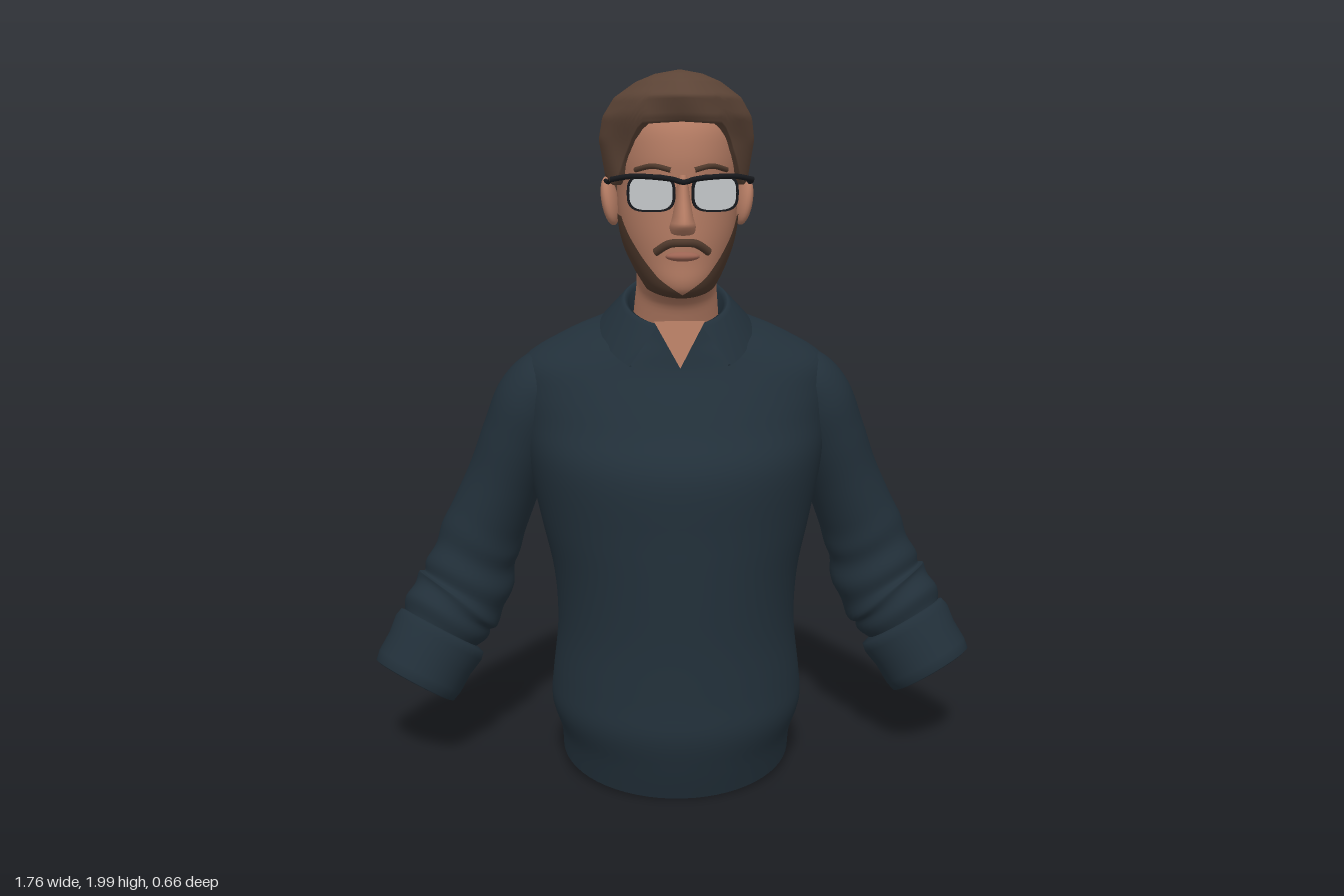
import * as THREE from 'three';

const mat = (name, color, side = THREE.FrontSide) => {
  const m = new THREE.MeshStandardMaterial({ color, side });
  m.name = name;
  return m;
};
const V = (x, y, z) => new THREE.Vector3(x, y, z);
const rad = THREE.MathUtils.degToRad;

// Smoothly interpolates a table of numbers; t runs in row units.
function sample(rows, t) {
  const i = Math.min(Math.floor(t), rows.length - 2), f = t - i;
  const at = k => rows[THREE.MathUtils.clamp(k, 0, rows.length - 1)];
  return rows[i].map((p1, c) => {
    const p0 = at(i - 1)[c], p2 = at(i + 1)[c], p3 = at(i + 2)[c];
    const m1 = (p2 - p0) / 2, m2 = (p3 - p1) / 2, d = p2 - p1;
    return p1 + f * (m1 + f * (3 * d - 2 * m1 - m2 + f * (m1 + m2 - 2 * d)));
  });
}

// Linear lookup in [key, value...] rows.
function lookup(table, key, c = 1) {
  let i = 0;
  while (i < table.length - 2 && key > table[i + 1][0]) i++;
  const [p, q] = [table[i], table[i + 1]];
  const f = THREE.MathUtils.clamp((key - p[0]) / (q[0] - p[0]), 0, 1);
  return p[c] + (q[c] - p[c]) * f;
}

// Grid surface: u runs around, v runs upward.
function loft(fn, nu, nv, closed = true) {
  const pos = [], index = [], cols = closed ? nu : nu + 1;
  for (let j = 0; j <= nv; j++)
    for (let i = 0; i < cols; i++) pos.push(...fn(i / nu, j / nv).toArray());
  for (let j = 0; j < nv; j++)
    for (let i = 0; i < nu; i++) {
      const a = j * cols + i, b = j * cols + (i + 1) % cols;
      index.push(a, b, b + cols, a, b + cols, a + cols);
    }
  const g = new THREE.BufferGeometry();
  g.setAttribute('position', new THREE.Float32BufferAttribute(pos, 3));
  g.setIndex(index);
  g.computeVertexNormals();
  return g;
}

// Point on an oval section [yFront, yBack, halfWidth, zFront, zBack]; angle 0 is the front.
function oval([yF, yB, w, zf, zb], a, mix = 0.45, back = 1, push = 0) {
  const zc = zf * mix + zb * (1 - mix), s = Math.sin(a), c = Math.cos(a);
  const e = c < 0 ? back : 1;
  const k = Math.sign(c) * Math.abs(c) ** e;
  const z = zc + k * ((c > 0 ? zf - zc : zc - zb) + push);
  const f = zf === zb ? 0.5 : (z - zb) / (zf - zb);
  return V(Math.sign(s) * Math.abs(s) ** e * (w + push), yB + (yF - yB) * f, z);
}
const ovalLoft = (rows, nu, nv, mix, back) =>
  loft((u, v) => oval(sample(rows, v * (rows.length - 1)), u * Math.PI * 2, mix, back), nu, nv);

const TORSO = [
  [0.01, 0.075, 0.335, 0.27, -0.24], [0.10, 0.14, 0.34, 0.30, -0.235],
  [0.20, 0.22, 0.365, 0.325, -0.22], [0.30, 0.30, 0.36, 0.32, -0.21],
  [0.45, 0.45, 0.345, 0.315, -0.22], [0.60, 0.60, 0.355, 0.317, -0.25],
  [0.75, 0.75, 0.39, 0.318, -0.285], [0.93, 0.93, 0.43, 0.315, -0.325],
  [1.04, 1.04, 0.445, 0.25, -0.315], [1.12, 1.13, 0.45, 0.20, -0.285],
  [1.19, 1.22, 0.43, 0.155, -0.25], [1.24, 1.30, 0.31, 0.135, -0.225],
  [1.27, 1.35, 0.20, 0.125, -0.20], [1.31, 1.40, 0.14, 0.112, -0.175]];
const HEAD = [
  [1.24, 1.32, 0.125, 0.09, -0.165], [1.33, 1.40, 0.117, 0.114, -0.145],
  [1.385, 1.45, 0.112, 0.14, -0.135], [1.405, 1.50, 0.112, 0.20, -0.135],
  [1.42, 1.52, 0.115, 0.24, -0.14], [1.45, 1.54, 0.127, 0.255, -0.145],
  [1.50, 1.57, 0.145, 0.255, -0.15], [1.56, 1.60, 0.157, 0.257, -0.16],
  [1.62, 1.65, 0.163, 0.255, -0.17], [1.70, 1.70, 0.165, 0.25, -0.18],
  [1.78, 1.78, 0.168, 0.25, -0.18], [1.86, 1.86, 0.16, 0.225, -0.17],
  [1.92, 1.92, 0.11, 0.15, -0.12], [1.95, 1.95, 0.01, 0.04, 0.02]];
const NOSE = [
  [1.575, 1.575, 0.012, 0.27, 0.22], [1.58, 1.58, 0.03, 0.305, 0.22],
  [1.60, 1.60, 0.034, 0.328, 0.22], [1.62, 1.62, 0.028, 0.322, 0.22],
  [1.67, 1.67, 0.02, 0.288, 0.22], [1.73, 1.73, 0.014, 0.258, 0.22]];
// Hair outline: y, half width, front, back
const HAIR = [
  [1.54, 0.145, 0.17, -0.15], [1.62, 0.178, 0.21, -0.178], [1.72, 0.196, 0.23, -0.20],
  [1.82, 0.213, 0.237, -0.215], [1.88, 0.203, 0.272, -0.205], [1.93, 0.172, 0.286, -0.18],
  [1.97, 0.115, 0.25, -0.10], [1.99, 0.065, 0.20, -0.02], [2.0, 0.004, 0.13, 0.12]];
// Lower hair edge: angle from the front, height
const HAIRLINE = [[0, 1.865], [32, 1.86], [40, 1.80], [55, 1.72], [62, 1.70], [70, 1.70],
  [78, 1.72], [92, 1.72], [101, 1.62], [106, 1.56], [115, 1.545], [180, 1.545]];
// Beard: head row, front angle, rear angle
const BEARD = [[3.2, 0, 50], [4, 0, 58], [4.6, 12, 66], [5.2, 28, 73], [6, 42, 79], [7, 58, 82], [7.8, 69, 82]];
// Sleeve: centre x, y, z, side radius, depth radius
const SLEEVE = [
  [0.30, 1.20, -0.09, 0.02, 0.04], [0.345, 1.165, -0.095, 0.085, 0.12],
  [0.40, 1.09, -0.105, 0.112, 0.145], [0.445, 0.98, -0.12, 0.113, 0.145],
  [0.50, 0.84, -0.14, 0.11, 0.14], [0.572, 0.665, -0.15, 0.12, 0.132],
  [0.62, 0.52, -0.14, 0.133, 0.132], [0.665, 0.45, -0.12, 0.135, 0.135],
  [0.71, 0.365, -0.09, 0.11, 0.11]];

function hairPoint(a, v) {
  let deg = Math.abs(a * 180 / Math.PI);
  if (deg > 180) deg = 360 - deg;
  const yb = lookup(HAIRLINE, deg), tuck = v === 0;
  const y = yb + (2 - yb) * Math.sin(Math.max(0, v - 0.03) / 0.97 * Math.PI / 2);
  const [w, zf, zb] = [1, 2, 3].map(c => lookup(HAIR, y, c));
  const p = oval([y, y, w, zf, zb], a);
  // soft swept locks over the forehead
  const front = Math.max(0, Math.cos(a)) * (2 - y) * 8;
  p.z += 0.006 * front * Math.sin(a * 7 + y * 20);
  if (tuck) { p.x *= 0.8; p.z *= 0.8; }
  return p;
}

function sleevePoint(s, u, v) {
  const n = SLEEVE.length - 1, t = (1 - v) * n, a = s * u * Math.PI * 2;
  const row = sample(SLEEVE, t), c = V(...row);
  const up = V(...sample(SLEEVE, Math.max(0, t - 0.1))).sub(V(...sample(SLEEVE, Math.min(n, t + 0.1)))).normalize();
  const side = up.clone().cross(V(0, 0, 1)).normalize(), fwd = side.clone().cross(up);
  // gathered folds on the pushed-up forearm
  const fold = 1 + 0.04 * THREE.MathUtils.smoothstep(t, 4.4, 5.4) * Math.sin(t * 8 + Math.sin(a * 2) * 0.9);
  c.addScaledVector(side, Math.sin(a) * row[3] * fold).addScaledVector(fwd, Math.cos(a) * row[4] * fold);
  c.x *= s;
  return c;
}

// Folded shirt collar, open at the front
function collarPoint(u, v) {
  const top = rad(25 + 310 * u), low = rad(40 + 280 * u);
  const tx = Math.sin(top), tz = Math.cos(top), lz = Math.cos(low);
  const edge = (k, dy) => {
    const z = -0.032 + 0.15 * k * tz;
    return V(0.142 * k * tx, 1.364 - 0.386 * z + dy, z);
  };
  const z = -0.035 + (lz > 0 ? 0.25 : 0.175) * lz;
  const tip = V(0.215 * Math.sin(low), 1.29 - 0.47 * z, z);
  const under = tip.clone().multiply(V(0.94, 1, 0.94));
  return [under, tip, edge(1.1, -0.005), edge(1.03, 0.004), edge(0.94, -0.004), edge(0.93, -0.06)][Math.round(v * 5)];
}

function lensOutline(k, Kind) {
  const pts = [];
  for (let i = 0; i < 36; i++) {
    const a = i / 36 * Math.PI * 2, c = Math.cos(a), s = Math.sin(a);
    pts.push(new THREE.Vector2(k * 0.058 * Math.sign(c) * Math.abs(c) ** 0.6, k * 0.044 * Math.sign(s) * Math.abs(s) ** 0.65));
  }
  return new Kind(pts);
}

export function createModel() {
  const model = new THREE.Group();
  const wool = mat('navy wool', 0x22303a, THREE.DoubleSide);
  const skin = mat('skin', 0xb27a62), hair = mat('brown hair', 0x5c4436);
  const beard = mat('beard', 0x4f392c), lip = mat('lips', 0x9c6453);
  const frame = mat('dark frame', 0x17191d), glass = mat('pale lens', 0xc4c8ca);
  const add = (name, geo, m, parent = model) => {
    const mesh = new THREE.Mesh(geo, m);
    mesh.name = name;
    parent.add(mesh);
    return mesh;
  };
  const tube = (pts, r, n = 24) => new THREE.TubeGeometry(
    new THREE.CatmullRomCurve3(pts.map(p => V(...p))), n, r, 8);

  // Sweater
  add('sweaterBody', ovalLoft(TORSO, 64, 60, 0.35, 0.8), wool);
  add('collar', loft(collarPoint, 48, 5, false), wool);
  const neckline = new THREE.BufferGeometry();
  neckline.setAttribute('position', new THREE.Float32BufferAttribute(
    [-0.07, 1.335, 0.122, 0, 1.21, 0.16, 0.07, 1.335, 0.122], 3));
  neckline.computeVertexNormals();
  add('openNeckline', neckline, skin);

  // Head
  add('headAndNeck', ovalLoft(HEAD, 56, 60, 0.45, 1), skin);
  add('nose', ovalLoft(NOSE, 20, 16, 0.3, 1), skin);
  add('hair', loft((u, v) => hairPoint(u * Math.PI * 2, v), 96, 36), hair);
  add('moustache', tube([[-0.07, 1.53, 0.232], [-0.035, 1.553, 0.254], [0, 1.556, 0.262],
    [0.035, 1.553, 0.254], [0.07, 1.53, 0.232]], 0.011), beard);
  const mouth = add('lips', new THREE.SphereGeometry(1, 20, 12), lip);
  mouth.scale.set(0.045, 0.013, 0.022);
  mouth.position.set(0, 1.52, 0.25);

  // Spectacles
  const glasses = new THREE.Group();
  glasses.name = 'spectacles';
  model.add(glasses);
  add('browBar', tube([[-0.185, 1.718, 0.225], [-0.13, 1.727, 0.258], [-0.03, 1.72, 0.282], [0, 1.712, 0.287],
    [0.03, 1.72, 0.282], [0.13, 1.727, 0.258], [0.185, 1.718, 0.225]], 0.007, 32), frame, glasses);
  const rimShape = lensOutline(1.09, THREE.Shape);
  rimShape.holes.push(lensOutline(0.98, THREE.Path));
  const plate = (shape, depth) => new THREE.ExtrudeGeometry(shape, { depth, bevelEnabled: false });

  for (const s of [1, -1]) {
    const side = s > 0 ? 'left' : 'right';
    // Sleeve with turned-back cuff
    add(side + 'Sleeve', loft((u, v) => sleevePoint(s, u, v), 36, 80), wool);
    const cuff = add(side + 'Cuff', new THREE.LatheGeometry([[0.005, 0.11], [0.095, 0.09], [0.114, 0.01],
      [0.12, -0.003], [0.129, 0], [0.135, 0.03], [0.135, 0.09], [0.143, 0.14], [0.138, 0.165], [0.10, 0.175]]
      .map(p => new THREE.Vector2(...p)), 36), wool);
    cuff.position.set(s * 0.77, 0.255, -0.055);
    cuff.quaternion.setFromUnitVectors(V(0, 1, 0), V(-s * 0.08, 0.135, -0.05).normalize());

    // Ear, eyebrow and beard
    const ear = add(side + 'Ear', new THREE.SphereGeometry(1, 20, 16), skin);
    ear.scale.set(0.022, 0.068, 0.042);
    ear.position.set(s * 0.184, 1.655, 0.012);
    ear.rotation.set(-0.15, s * 0.3, -s * 0.15);
    add(side + 'Eyebrow', tube([[s * 0.03, 1.742, 0.248], [s * 0.075, 1.752, 0.232], [s * 0.12, 1.742, 0.187]], 0.007), beard);
    add(side + 'Beard', loft((u, v) => {
      const t = 3.2 + 4.6 * v, k = s > 0 ? u : 1 - u;
      const a0 = lookup(BEARD, t, 1), a1 = lookup(BEARD, t, 2);
      return oval(sample(HEAD, t), s * rad(a0 + (a1 - a0) * k), 0.45, 1, 0.005);
    }, 20, 24, false), beard);

    // Lens, rim and temple arm
    const eyepiece = new THREE.Group();
    eyepiece.name = side + 'Eyepiece';
    eyepiece.position.set(s * 0.082, 1.684, 0.264);
    eyepiece.rotation.y = s * 0.22;
    glasses.add(eyepiece);
    add('lens', plate(lensOutline(1, THREE.Shape), 0.005), glass, eyepiece);
    add('rim', plate(rimShape, 0.007), frame, eyepiece);
    add(side + 'Temple', tube([[s * 0.185, 1.718, 0.225], [s * 0.19, 1.708, 0.12], [s * 0.195, 1.705, 0.0],
      [s * 0.187, 1.68, -0.03], [s * 0.182, 1.63, -0.04]], 0.006), frame, glasses);
  }
  return model;
}
